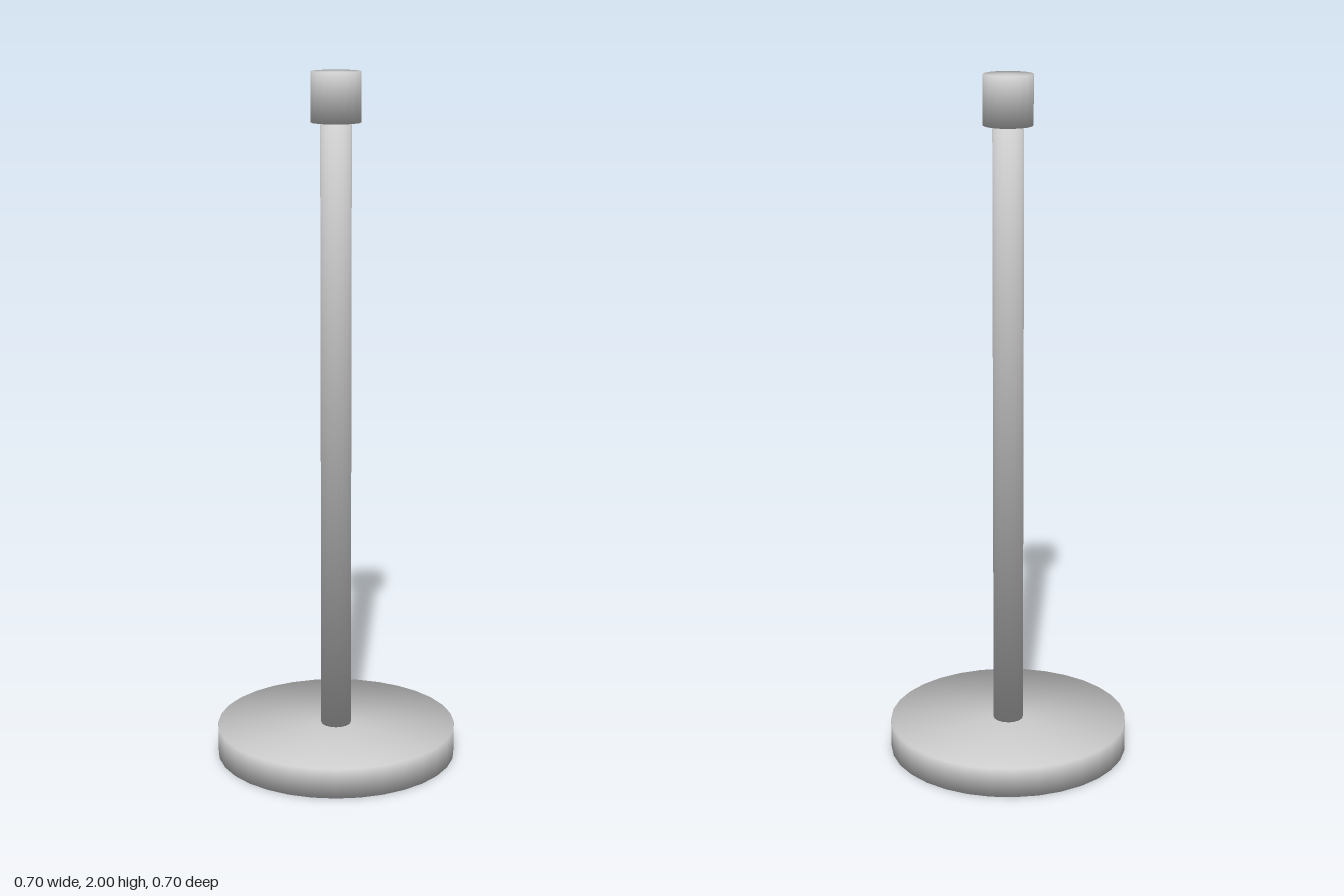
import * as THREE from 'three';

const material = new THREE.MeshStandardMaterial({ color: 0xcccccc });

// Closed disc or rod with normals blended smoothly over its rims
function roundPart(name, radius, bottom, top, segments) {
  const height = top - bottom;
  const geometry = new THREE.CylinderGeometry(radius, radius, height, segments);
  const { position, normal } = geometry.attributes;
  const n = new THREE.Vector3();
  for (let i = 0; i < position.count; i++) {
    n.set(position.getX(i) / radius, Math.sign(position.getY(i)), position.getZ(i) / radius).normalize();
    normal.setXYZ(i, n.x, n.y, n.z);
  }
  const mesh = new THREE.Mesh(geometry, material);
  mesh.name = name;
  mesh.position.y = bottom + height / 2;
  return mesh;
}

export function createModel() {
  const group = new THREE.Group();
  group.name = 'stanchionPost';
  group.add(
    roundPart('base', 0.351, 0, 0.088, 32),
    roundPart('pole', 0.044, 0.088, 1.86, 16),
    roundPart('topCap', 0.07, 1.86, 2, 16),
  );
  return group;
}
